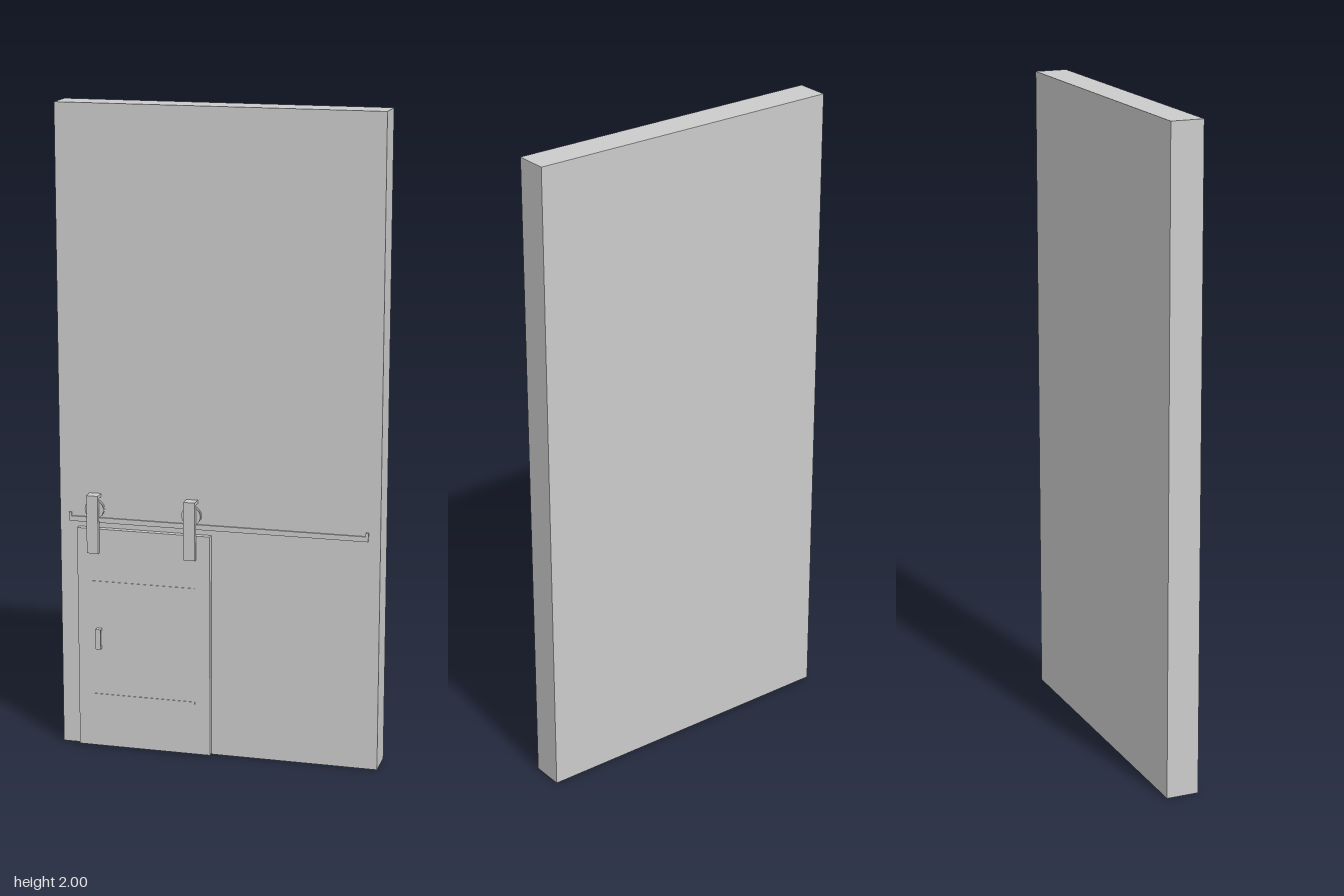
import * as THREE from 'three';

const material = new THREE.MeshStandardMaterial({ color: 0xcccccc, flatShading: true });

export function createModel() {
  const model = new THREE.Group();
  model.name = 'slidingBarnDoor';

  const add = (name, geometry, x = 0, y = 0, z = 0, parent = model) => {
    const mesh = new THREE.Mesh(geometry, material);
    mesh.name = name;
    mesh.position.set(x, y, z);
    parent.add(mesh);
    return mesh;
  };
  // Box given by its limits on each axis
  const box = (name, [x0, x1], [y0, y1], [z0, z1], parent) =>
    add(name, new THREE.BoxGeometry(x1 - x0, y1 - y0, z1 - z0),
      (x0 + x1) / 2, (y0 + y1) / 2, (z0 + z1) / 2, parent);

  // Wall and sliding door panel
  box('wall', [-0.5, 0.5], [0, 2], [-0.07, 0.03]);
  box('doorPanel', [-0.44, -0.02], [0.004, 0.705], [0.033, 0.052]);

  // Thin raised battens on the door
  for (const y of [0.17, 0.535]) {
    box('batten', [-0.395, -0.068], [y - 0.004, y + 0.004], [0.051, 0.054]);
  }

  // Flat track with an upright stop at each end
  box('track', [-0.47, 0.463], [0.72, 0.736], [0.029, 0.035]);
  for (const x of [-0.467, 0.46]) {
    box('trackStop', [x - 0.004, x + 0.004], [0.733, 0.748], [0.029, 0.036]);
  }

  // Grooved wheel profile: radius, width
  const wheelProfile = [[0, -0.007], [0.03, -0.007], [0.03, -0.004], [0.025, -0.001],
    [0.025, 0.001], [0.03, 0.004], [0.03, 0.007], [0, 0.007]]
    .map(([r, w]) => new THREE.Vector2(r, w));

  // Hook-shaped hanger straps, each with its wheel and axle
  for (const x of [-0.387, -0.081]) {
    const hanger = new THREE.Group();
    hanger.name = 'hanger';
    model.add(hanger);
    const width = [x - 0.018, x + 0.018];
    box('strap', width, [0.63, 0.812], [0.051, 0.066], hanger);
    box('strapTop', width, [0.802, 0.812], [0.03, 0.051], hanger);
    const wheel = add('wheel', new THREE.LatheGeometry(wheelProfile, 24), x, 0.764, 0.038, hanger);
    wheel.rotation.x = Math.PI / 2;
    const axle = add('axle', new THREE.CylinderGeometry(0.006, 0.006, 0.022, 12), x, 0.764, 0.041, hanger);
    axle.rotation.x = Math.PI / 2;
  }

  // Pull handle: upright grip on two posts
  const handle = new THREE.Group();
  handle.name = 'handle';
  model.add(handle);
  const grip = [-0.38, -0.364];
  box('handleGrip', grip, [0.324, 0.388], [0.063, 0.07], handle);
  for (const y of [0.324, 0.381]) {
    box('handlePost', grip, [y, y + 0.007], [0.051, 0.064], handle);
  }

  return model;
}
